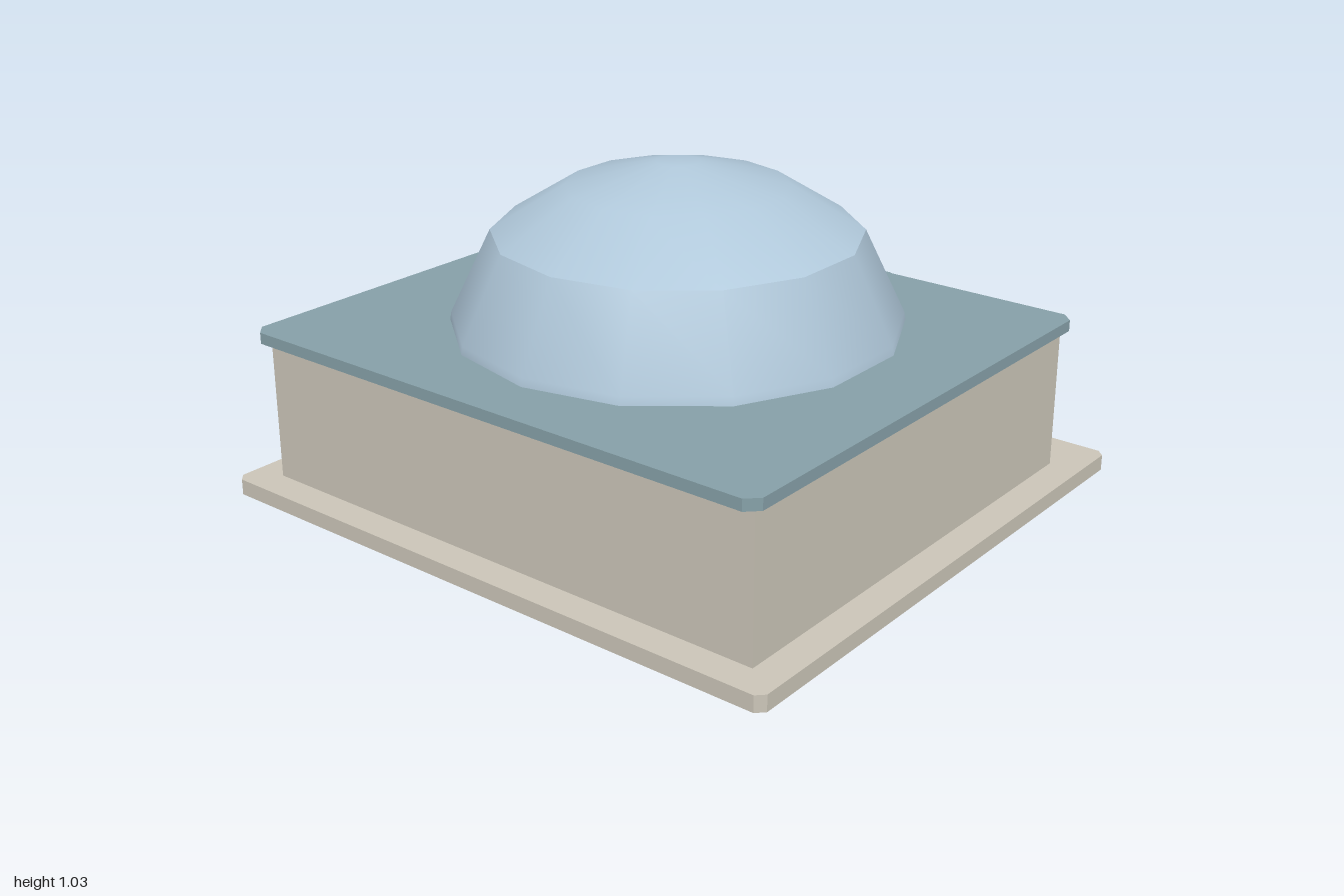
import * as THREE from 'three';
import { toCreasedNormals } from 'three/addons/utils/BufferGeometryUtils.js';

export function createModel() {
  const group = new THREE.Group();
  const material = (name, color) => {
    const m = new THREE.MeshStandardMaterial({ color });
    m.name = name;
    return m;
  };
  const stone = material('warm stone', 0xcbc5b8);
  const teal = material('grey teal', 0x86a0a8);
  const paleBlue = material('pale blue', 0xb0c8da);

  const add = (name, geometry, mat) => {
    const mesh = new THREE.Mesh(geometry, mat);
    mesh.name = name;
    group.add(mesh);
    return mesh;
  };

  // Box given by its extents on each axis
  const box = (name, mat, [x0, x1], [y0, y1], [z0, z1]) =>
    add(name, new THREE.BoxGeometry(x1 - x0, y1 - y0, z1 - z0), mat)
      .position.set((x0 + x1) / 2, (y0 + y1) / 2, (z0 + z1) / 2);

  // Flat slab with its four corners cut off
  const slab = (name, mat, [x0, x1], [y0, y1], halfZ, cut) => {
    const shape = new THREE.Shape([
      [x0 + cut, -halfZ], [x1 - cut, -halfZ], [x1, -halfZ + cut], [x1, halfZ - cut],
      [x1 - cut, halfZ], [x0 + cut, halfZ], [x0, halfZ - cut], [x0, -halfZ + cut],
    ].map(([x, y]) => new THREE.Vector2(x, y)));
    const geometry = new THREE.ExtrudeGeometry(shape, { depth: y1 - y0, bevelEnabled: false });
    geometry.rotateX(-Math.PI / 2);
    add(name, geometry, mat).position.y = y0;
  };

  // Base and roof
  slab('base', stone, [-0.92, 0.92], [0, 0.05], 1, 0.024);
  slab('roof', teal, [-0.867, 0.772], [0.5, 0.535], 0.93, 0.036);

  // Hollow walls with a doorway on the +x side
  const t = 0.04, left = -0.822, right = 0.738, depth = 0.9, door = 0.175;
  const wallY = [0.05, 0.5];
  box('backWall', stone, [left, right], wallY, [-depth, -depth + t]);
  box('frontWall', stone, [left, right], wallY, [depth - t, depth]);
  box('farWall', stone, [left, left + t], wallY, [-depth + t, depth - t]);
  box('doorWallBack', stone, [right - t, right], wallY, [-depth + t, -door]);
  box('doorWallFront', stone, [right - t, right], wallY, [door, depth - t]);
  box('wallOverDoor', stone, [right - t, right], [0.43, 0.5], [-door, door]);

  // Door frame, lintel and canopy
  for (const side of [-1, 1]) {
    const z = [side * 0.158, side * 0.18].sort((a, b) => a - b);
    box(side > 0 ? 'frontDoorPost' : 'backDoorPost', teal, [right - t - 0.005, 0.76], [0.05, 0.426], z);
  }
  box('lintel', stone, [right - t - 0.005, 0.78], [0.426, 0.455], [-0.18, 0.18]);
  slab('canopy', teal, [0.735, 0.92], [0.455, 0.478], 0.19, 0.012);

  // Fourteen-sided dome, smooth apart from the crease above its lower band
  const profile = [
    [0.69, 0.53], [0.685, 0.56], [0.56, 0.82], [0.335, 0.96], [0.067, 1.03], [0, 1.03],
  ].map(([r, y]) => new THREE.Vector2(r, y));
  const dome = new THREE.LatheGeometry(profile, 14, Math.PI / 2);
  add('dome', toCreasedNormals(dome, Math.PI / 6), paleBlue);

  return group;
}
